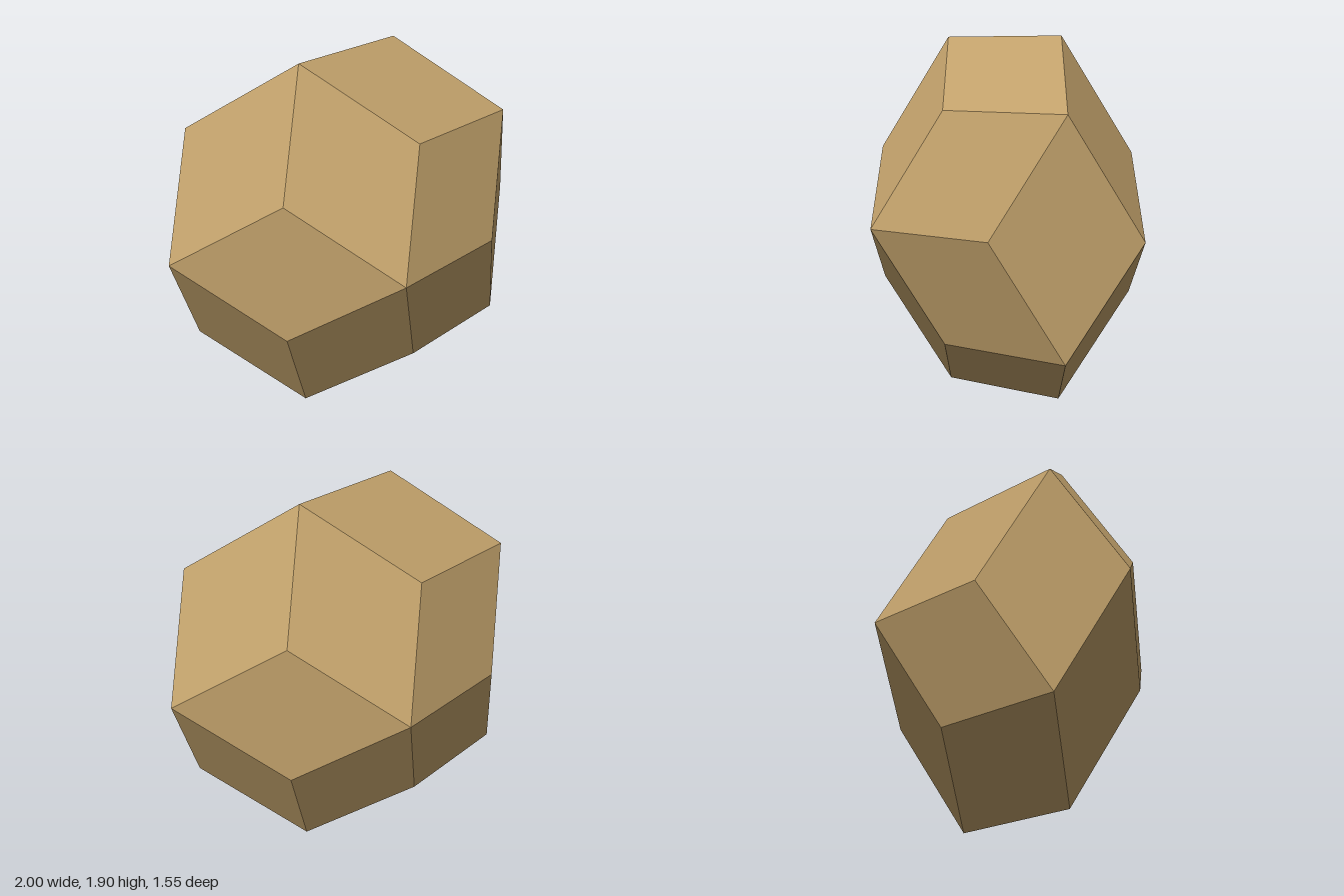
import * as THREE from 'three';

// Rhombic icosahedron: a polar zonohedron swept by five equal edge vectors
const EDGE_RADIUS = 0.618034;
const EDGE_DROP = 0.309017;
const CENTRE_Y = 0.951057;

export function createModel() {
  const group = new THREE.Group();
  group.name = 'rhombicIcosahedron';

  const edges = [];
  for (let k = 0; k < 5; k++) {
    const a = (k * 2 * Math.PI) / 5;
    edges.push(new THREE.Vector3(EDGE_RADIUS * Math.cos(a), EDGE_RADIUS * Math.sin(a), -EDGE_DROP));
  }
  const edge = (k) => edges[(k + 5) % 5];
  const apex = new THREE.Vector3(0, 0, 2.5 * EDGE_DROP);

  const positions = [];
  const triangle = (...corners) => corners.forEach((p) => positions.push(p.x, p.y, p.z));

  // One rhombus and its opposite through the centre
  const addRhombusPair = (start, u, v) => {
    const a = start.clone();
    const b = a.clone().add(u);
    const c = b.clone().add(v);
    const d = a.clone().add(v);
    triangle(a, b, c);
    triangle(a, c, d);
    const [na, nb, nc, nd] = [a, b, c, d].map((p) => p.clone().negate());
    triangle(na, nc, nb);
    triangle(na, nd, nc);
  };

  for (let k = 0; k < 5; k++) {
    // Rhombi meeting at the front and back apex
    addRhombusPair(apex, edge(k), edge(k + 1));
    // Rhombi of the two belts around the middle
    addRhombusPair(apex.clone().add(edge(k)), edge(k - 1), edge(k + 1));
  }

  const geometry = new THREE.BufferGeometry();
  geometry.setAttribute('position', new THREE.Float32BufferAttribute(positions, 3));
  geometry.computeVertexNormals();

  const material = new THREE.MeshStandardMaterial({ color: 0xc0a06a });
  material.name = 'tan';

  const body = new THREE.Mesh(geometry, material);
  body.name = 'facetedBody';
  body.position.y = CENTRE_Y;
  group.add(body);
  return group;
}
